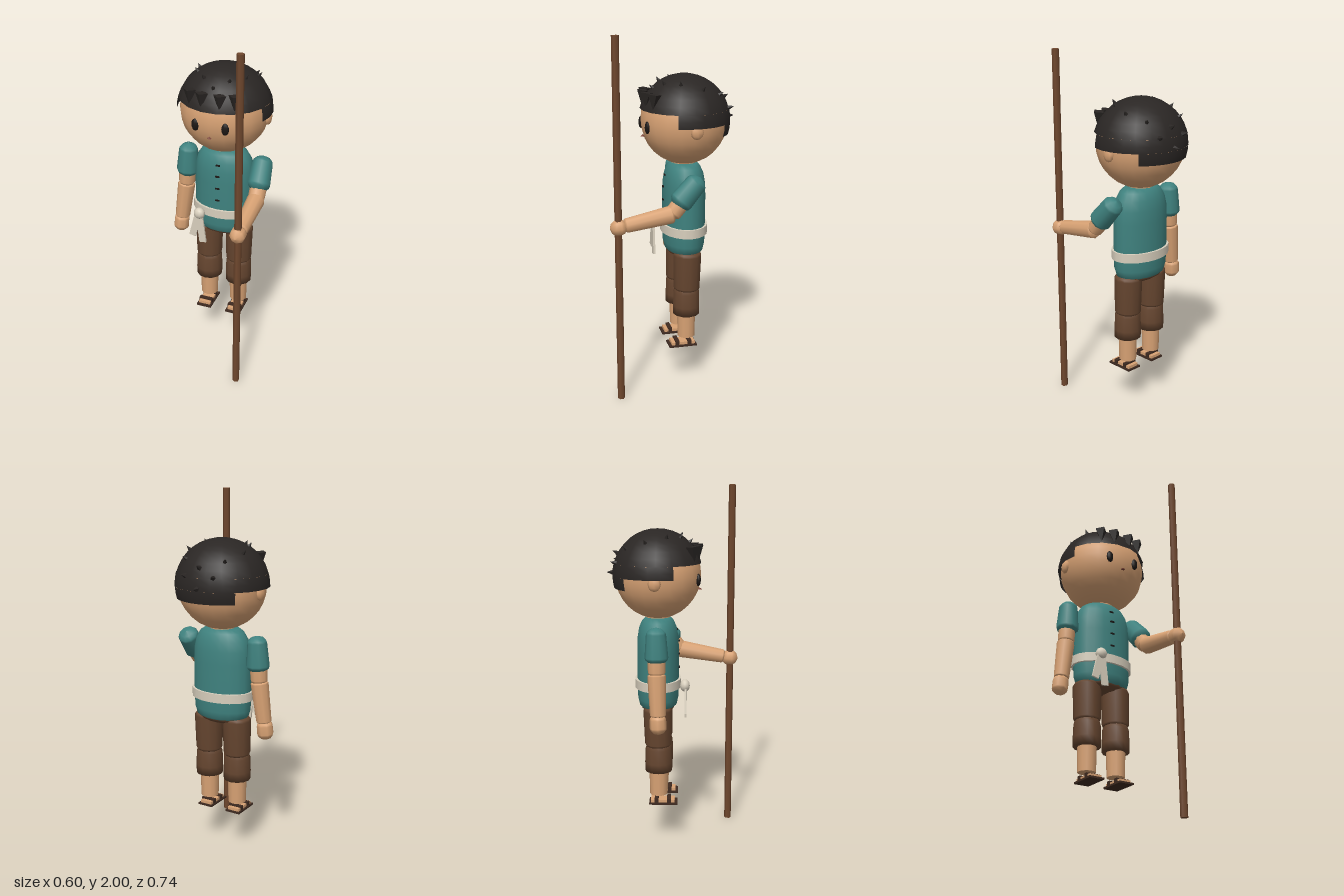
import * as THREE from 'three';

const CX = 0.015, CZ = -0.088, HEAD_Y = 1.52;
const V = (x, y, z) => new THREE.Vector3(x, y, z);
const mat = (color, extra = {}) => new THREE.MeshStandardMaterial({ color, ...extra });

export function createModel() {
  const group = new THREE.Group();
  const skin = mat(0xd8a274), shirt = mat(0x3f827f), trousers = mat(0x65452f);
  const hair = mat(0x2a2624, { side: THREE.DoubleSide });
  const spikeMat = mat(0x2a2624, { flatShading: true });
  const cloth = mat(0xd8cfbd), wood = mat(0x70482e), leather = mat(0x3e2a20);
  const dark = mat(0x1c1715), lip = mat(0x7d4538);

  const add = (name, geo, material, pos = [0, 0, 0], scale = [1, 1, 1], parent = group) => {
    const m = new THREE.Mesh(geo, material);
    m.name = name;
    m.position.set(...pos);
    m.scale.set(...scale);
    parent.add(m);
    return m;
  };
  const ball = (w = 14, h = 10) => new THREE.SphereGeometry(1, w, h);
  // lathe from [radius, y] pairs, listed bottom to top
  const lathe = (pts, seg) => new THREE.LatheGeometry(pts.map(p => new THREE.Vector2(...p)), seg);
  // rounded limb whose end radii differ, running from a to b
  const limb = (name, a, b, ra, rb, material, round = 0.6, seg = 10) => {
    const L = a.distanceTo(b), ca = ra * round, cb = rb * round;
    const geo = lathe([
      [0.001, -ca], [ra * 0.62, -ca * 0.75], [ra * 0.93, -ca * 0.3], [ra, 0],
      [rb, L], [rb * 0.93, L + cb * 0.3], [rb * 0.62, L + cb * 0.75], [0.001, L + cb],
    ], seg);
    const m = add(name, geo, material, a.toArray());
    m.quaternion.setFromUnitVectors(V(0, 1, 0), b.clone().sub(a).normalize());
    return m;
  };

  // head, neck, ears and face
  add('head', ball(20, 16), skin, [CX, HEAD_Y, CZ], [0.245, 0.242, 0.238]);
  add('neck', new THREE.CylinderGeometry(0.07, 0.07, 0.1, 12), skin, [CX, 1.27, CZ]);
  for (const s of [-1, 1]) {
    const side = s < 0 ? 'right' : 'left';
    add(side + 'Ear', ball(8, 6), skin, [CX + s * 0.242, 1.495, -0.097], [0.02, 0.04, 0.035]);
    add(side + 'Eye', ball(8, 8), dark, [CX + s * 0.083, 1.5, 0.134], [0.022, 0.034, 0.014]);
  }
  add('mouth', new THREE.ConeGeometry(0.014, 0.012, 4), lip, [CX, 1.443, 0.142]);

  // hair: crown, longer sides and back, lowest at the nape
  const hairPatch = (name, phi0, phiLen, yTop, yLow, seg) => {
    const t0 = Math.acos((yTop - HEAD_Y) / 0.25), t1 = Math.acos((yLow - HEAD_Y) / 0.25);
    add(name, new THREE.SphereGeometry(1, seg, yTop > 1.7 ? 8 : 2, phi0, phiLen, t0, t1 - t0),
      hair, [CX, HEAD_Y, CZ], [0.262, 0.25, 0.25]);
  };
  hairPatch('hairCrown', 0, Math.PI * 2, HEAD_Y + 0.25, 1.585, 18);
  hairPatch('hairBack', Math.PI - 0.38, Math.PI + 0.76, 1.585, 1.515, 14);
  hairPatch('hairNape', Math.PI * 1.5 - 0.8, 1.6, 1.515, 1.45, 8);

  // small spikes standing off the crown, given as offset from the hair centre
  const spike = (dx, dz, low = 0, size = 1) => {
    const u = dx / 0.262, w = dz / 0.25;
    const v = low || Math.sqrt(Math.max(0.02, 1 - u * u - w * w));
    const n = V(u, v, w).normalize();
    const m = add('hairSpike', new THREE.ConeGeometry(0.016 * size, 0.038 * size, 5), spikeMat,
      [CX + n.x * 0.268, HEAD_Y + n.y * 0.256, CZ + n.z * 0.256]);
    m.quaternion.setFromUnitVectors(V(0, 1, 0), n);
  };
  for (const s of [-1, 1]) {
    spike(s * 0.07, 0.125);
    spike(s * 0.135, 0.052);
    spike(s * 0.167, -0.06);
    spike(s * 0.12, -0.165);
    spike(s * 0.085, -0.225, 0.28, 1.3);
  }
  spike(0, 0.175);
  spike(0, -0.215, 0.45, 1.3);
  spike(0, -0.25, 0.04, 1.4);

  // fringe of downward points over the forehead
  for (const dx of [-0.125, -0.05, 0.05, 0.125]) {
    const z = CZ + 0.222 * Math.sqrt(1 - (dx / 0.262) ** 2);
    const m = add('fringePoint', new THREE.ConeGeometry(0.036, 0.085, 4), spikeMat, [CX + dx, 1.638, z]);
    m.rotation.set(Math.PI - 0.12, 0, 0);
  }

  // tunic with buttons
  add('tunic', lathe([[0.001, 0.775], [0.13, 0.775], [0.155, 0.79], [0.168, 0.83], [0.172, 0.92],
    [0.172, 1.1], [0.168, 1.17], [0.155, 1.225], [0.13, 1.265], [0.1, 1.285], [0.001, 1.287]], 20),
  shirt, [CX, 0, CZ], [1, 1, 0.68]);
  for (const y of [1.0, 1.075, 1.15, 1.215]) {
    add('button', new THREE.BoxGeometry(0.024, 0.008, 0.01), dark, [CX, y, y > 1.2 ? 0.019 : 0.029]);
  }

  // sash with a knot and two hanging tails
  add('sash', new THREE.CylinderGeometry(0.183, 0.183, 0.05, 20), cloth, [CX, 0.915, CZ], [1, 1, 0.71]);
  add('sashKnot', ball(10, 8), cloth, [-0.08, 0.915, 0.064], [0.033, 0.034, 0.028]);
  for (const [x, y, len, tilt] of [[-0.104, 0.832, 0.14, -0.24], [-0.068, 0.815, 0.17, 0.12]]) {
    add('sashTail', new THREE.BoxGeometry(0.04, len, 0.012), cloth, [x, y, 0.068]).rotation.z = tilt;
  }

  // legs and sandals
  add('hips', ball(16, 8), trousers, [CX, 0.79, CZ], [0.155, 0.045, 0.1]);
  for (const s of [-1, 1]) {
    const side = s < 0 ? 'right' : 'left', x = CX + s * 0.092;
    limb(side + 'Thigh', V(x, 0.58, CZ + 0.003), V(x, 0.77, CZ), 0.075, 0.08, trousers, 0.5, 12);
    add(side + 'TrouserCuff', lathe([[0.001, 0.42], [0.076, 0.42], [0.077, 0.47], [0.074, 0.55],
      [0.06, 0.59], [0.001, 0.61]], 12), trousers, [x, 0, CZ + 0.005]);
    add(side + 'Shin', new THREE.CylinderGeometry(0.054, 0.05, 0.17, 12), skin, [x, 0.365, CZ + 0.005]);
    add(side + 'Foot', new THREE.BoxGeometry(0.07, 0.018, 0.135), skin, [x, 0.242, -0.06]);
    add(side + 'Sole', new THREE.BoxGeometry(0.09, 0.01, 0.16), leather, [x, 0.23, -0.057]);
    for (const z of [-0.025, -0.095]) {
      add(side + 'SandalStrap', new THREE.BoxGeometry(0.082, 0.024, 0.022), leather, [x, 0.248, z]);
    }
  }

  // right arm hanging down
  limb('rightSleeve', V(-0.21, 1.1, -0.088), V(-0.205, 1.225, -0.09), 0.064, 0.054, shirt, 0.7);
  limb('rightElbow', V(-0.217, 1.02, -0.087), V(-0.212, 1.1, -0.088), 0.047, 0.048, skin);
  limb('rightForearm', V(-0.245, 0.79, -0.08), V(-0.22, 1.0, -0.087), 0.043, 0.05, skin, 0.4);
  limb('rightHand', V(-0.254, 0.72, -0.078), V(-0.25, 0.765, -0.08), 0.046, 0.045, skin, 0.8, 8);

  // left arm reaching forward to the staff
  limb('leftSleeve', V(0.232, 1.215, -0.1), V(0.24, 1.125, -0.018), 0.058, 0.064, shirt, 0.7);
  limb('leftElbow', V(0.24, 1.12, -0.02), V(0.242, 1.065, 0.025), 0.047, 0.046, skin);
  limb('leftForearm', V(0.243, 1.055, 0.04), V(0.245, 1.013, 0.28), 0.05, 0.04, skin, 0.45);
  limb('leftHand', V(0.245, 1.005, 0.31), V(0.245, 1.003, 0.335), 0.044, 0.044, skin, 0.8, 8);

  // staff
  add('staff', new THREE.CylinderGeometry(0.02, 0.02, 2, 6), wood, [0.245, 1, 0.325]);

  return group;
}
